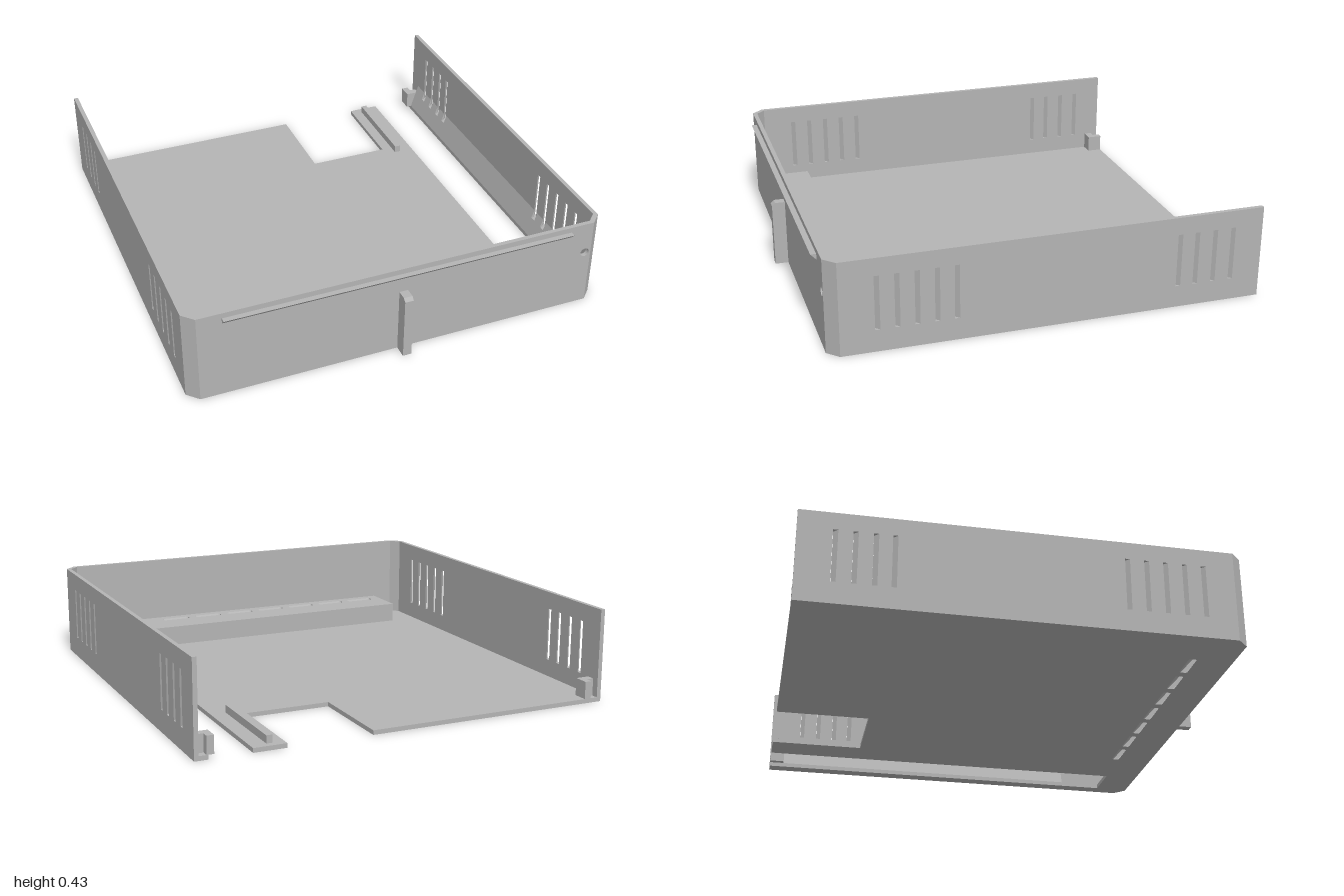
import * as THREE from 'three';

const gray = new THREE.MeshStandardMaterial({ color: 0xb4b4b4 });
gray.name = 'lightGray';

const FLOOR = 0.02, TOP = 0.425, WALL = 0.02;

const poly = (pts) => new THREE.Shape(pts.map(([a, b]) => new THREE.Vector2(a, b)));
const rect = (x0, y0, x1, y1) => poly([[x0, y0], [x1, y0], [x1, y1], [x0, y1]]);
const extrude = (shape, depth) =>
  new THREE.ExtrudeGeometry(shape, { depth, bevelEnabled: false, curveSegments: 10 });

// Plan outline (x, z) raised from y0 to y1
const slab = (shape, y0, y1) => extrude(shape, y1 - y0).rotateX(Math.PI / 2).translate(0, y1, 0);

// Side profile (z, y) swept along x from x1 down to x0
const sideSweep = (shape, x0, x1) => extrude(shape, x1 - x0).rotateY(-Math.PI / 2).translate(x1, 0, 0);

// Slanted holes: slide only the vertices inside the given band along one axis
function slantHoles(geo, inBand, slide) {
  const p = geo.attributes.position;
  const v = new THREE.Vector3();
  for (let i = 0; i < p.count; i++) {
    v.fromBufferAttribute(p, i);
    if (inBand(v)) {
      slide(v);
      p.setXYZ(i, v.x, v.y, v.z);
    }
  }
  geo.computeVertexNormals();
  return geo;
}

export function createModel() {
  const group = new THREE.Group();
  const add = (name, geo) => {
    const mesh = new THREE.Mesh(geo, gray);
    mesh.name = name;
    group.add(mesh);
    return mesh;
  };

  // Floor with rear notch, long side opening and a gap for the vent block
  const floor = poly([
    [-0.97, -1], [0.18, -1], [0.18, -0.56], [0.57, -0.56], [0.57, -1], [0.72, -1], [0.72, 0.78],
    [0.91, 0.78], [0.91, -1], [0.97, -1], [0.97, 0.89], [0.92, 0.94], [-0.92, 0.94], [-0.97, 0.89],
  ]);
  floor.holes.push(rect(-0.81, 0.69, 0.67, 0.92));
  add('floor', slab(floor, 0, FLOOR));

  // Vent block with a row of slanted slots through to the underside
  const blockTop = 0.115;
  const block = rect(-0.81, 0.69, 0.67, 0.92);
  for (let i = 0; i < 7; i++) {
    const x = -0.685 + i * 0.181, w = 0.07, h = 0.018, c = 0.006;
    block.holes.push(poly([
      [x - w + c, 0.86 - h], [x + w - c, 0.86 - h], [x + w, 0.86 - h + c], [x + w, 0.86 + h - c],
      [x + w - c, 0.86 + h], [x - w + c, 0.86 + h], [x - w, 0.86 + h - c], [x - w, 0.86 - h + c],
    ]));
  }
  add('ventBlock', slantHoles(slab(block, 0, blockTop),
    (v) => v.z > 0.7 && v.z < 0.91, (v) => { v.z -= (blockTop - v.y) * 0.9; }));

  // Side walls with slanted cooling slots
  const slotZ = [-0.86, -0.775, -0.69, -0.61, 0.39, 0.475, 0.56, 0.645, 0.73];
  const side = rect(-1, FLOOR, 0.89, TOP);
  slotZ.forEach((z) => side.holes.push(rect(z - 0.011, 0.1, z + 0.011, 0.345)));
  const sideGeo = slantHoles(sideSweep(side, -WALL, 0),
    (v) => v.y > 0.05 && v.y < 0.4, (v) => { v.z -= v.x; });
  add('leftWall', sideGeo).position.x = 0.97;
  add('rightWall', sideGeo).position.x = -0.95;

  // Front wall with a round hole
  const front = rect(-0.92, FLOOR, 0.92, TOP);
  const hole = new THREE.Path();
  hole.absarc(0.89, 0.27, 0.021, 0, Math.PI * 2, true);
  front.holes.push(hole);
  add('frontWall', extrude(front, WALL).translate(0, 0, 0.92));

  for (const s of [1, -1]) {
    // Chamfered front corners
    add('cornerWall', slab(poly([[s * 0.97, 0.89], [s * 0.92, 0.94], [s * 0.91, 0.92], [s * 0.95, 0.88]]),
      FLOOR, TOP));
    // Small L-shaped catches at the rear corners
    add('rearCatch', slab(poly([
      [s * 0.885, -1], [s * 0.917, -1], [s * 0.917, -0.967], [s * 0.95, -0.967],
      [s * 0.95, -0.93], [s * 0.885, -0.93],
    ]), FLOOR, 0.1));
  }

  // Sloped fillet along the side wall, lowered where the slots cut through
  const fillet = (z0, z1, top) => {
    const x = 0.91 + (0.04 * (top - FLOOR)) / 0.12;
    const shape = poly(top < 0.14
      ? [[0.91, FLOOR], [0.95, FLOOR], [0.95, top], [x, top]]
      : [[0.91, FLOOR], [0.95, FLOOR], [0.95, top]]);
    add('wallFillet', extrude(shape, z1 - z0).translate(0, 0, z0));
  };
  let start = -0.93;
  for (const z of slotZ.slice(0, 7)) {
    const a = z + 0.012, b = Math.min(z + 0.04, 0.58);
    fillet(start, a, 0.14);
    fillet(a, b, 0.1);
    start = b;
  }

  // Low guide rail beside the rear notch
  add('guideRail', slab(rect(0.622, -0.97, 0.65, -0.51), FLOOR, 0.055));

  // Wedge-shaped snap ridge across the front
  add('snapRidge', sideSweep(poly([[0.94, 0.4], [0.965, 0.4], [0.94, 0.374]]), -0.81, 0.81));

  // Upright front tab with a bevelled top
  add('frontTab', sideSweep(poly([[0.94, 0], [1, 0], [1, 0.293], [0.985, 0.307], [0.94, 0.307]]), -0.02, 0.02));

  return group;
}
